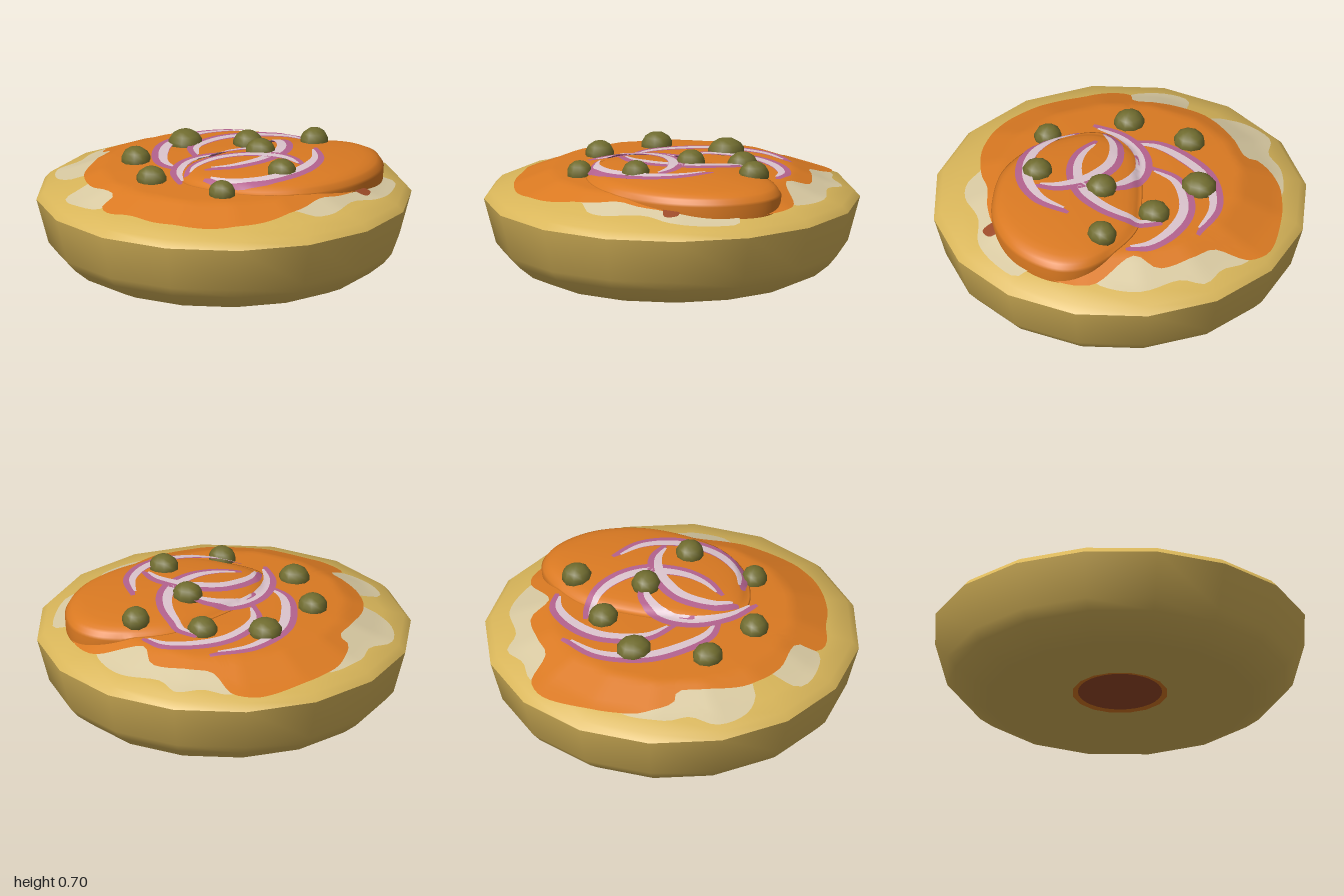
import * as THREE from 'three';
import { toCreasedNormals } from 'three/addons/utils/BufferGeometryUtils.js';

const mat = (name, color, side = THREE.FrontSide) => {
  const m = new THREE.MeshStandardMaterial({ color, side });
  m.name = name;
  return m;
};
const SIDES = 16, COLS = 128, V2 = (p) => new THREE.Vector2(...p);

// Top of the crust from the middle to the rim: [radius, height]
const DOME = [[0, 0.565], [0.3, 0.565], [0.65, 0.548], [0.85, 0.47], [0.965, 0.438], [1, 0.4]];
// Side of the fish slice: [fraction of outline, height]
const SLICE = [[0, 0.632], [0.4, 0.626], [0.7, 0.613], [0.88, 0.598], [0.96, 0.575], [1, 0.54]];

function sample(table, t) {
  for (let i = 1; i < table.length; i++) {
    const [a, ya] = table[i - 1], [b, yb] = table[i];
    if (t <= b) return ya + (yb - ya) * (t - a) / (b - a);
  }
  return table[table.length - 1][1];
}

// Height of the faceted crust at a point
function domeY(x, z) {
  const step = 2 * Math.PI / SIDES;
  const a = (((Math.atan2(z, x) % step) + step) % step) - step / 2;
  return sample(DOME, Math.hypot(x, z) * Math.cos(a) / Math.cos(step / 2));
}

const closedCurve = (pts) => new THREE.CatmullRomCurve3(
  pts.map(([x, z]) => new THREE.Vector3(x, 0, z)), true, 'centripetal').getSpacedPoints(COLS).slice(0, COLS);

// Surface through rows of points
function grid(rows, wrap) {
  const n = rows[0].length, idx = [];
  for (let i = 0; i < rows.length - 1; i++) {
    for (let j = 0; j < (wrap ? n : n - 1); j++) {
      const k = (j + 1) % n, a = i * n + j, b = a + n, c = i * n + k, d = c + n;
      idx.push(a, c, b, b, c, d);
    }
  }
  const g = new THREE.BufferGeometry();
  g.setAttribute('position', new THREE.Float32BufferAttribute(rows.flat(2), 3));
  g.setIndex(idx);
  g.computeVertexNormals();
  return g;
}

// Thin layer inside an outline, laid over the crust
function drape(outline, cx, cz, lift, rings = 26) {
  const rows = [];
  for (let i = 0; i <= rings; i++) {
    const f = Math.max(i / rings, 0.001);
    rows.push(outline.map((p) => {
      const x = cx + (p.x - cx) * f, z = cz + (p.z - cz) * f;
      return [x, domeY(x, z) + lift, z];
    }));
  }
  return grid(rows, true);
}

const CREAM = [[0.41, -0.8], [0.52, -0.69], [0.65, -0.63], [0.67, -0.5], [0.81, -0.32], [0.83, -0.13], [0.8, -0.02],
  [0.75, 0.1], [0.78, 0.3], [0.83, 0.36], [0.78, 0.46], [0.62, 0.62], [0.43, 0.67], [0.27, 0.78], [0.14, 0.8],
  [0.05, 0.75], [-0.15, 0.7], [-0.4, 0.6], [-0.6, 0.4], [-0.69, 0.2], [-0.72, 0.14], [-0.82, 0.14], [-0.89, -0.07],
  [-0.86, -0.16], [-0.78, -0.18], [-0.7, -0.19], [-0.66, -0.3], [-0.72, -0.37], [-0.74, -0.5], [-0.65, -0.66],
  [-0.5, -0.69], [-0.4, -0.78], [-0.16, -0.84], [-0.1, -0.78], [0.2, -0.8]];
const SALMON = [[0.03, -0.89], [0.3, -0.89], [0.4, -0.81], [0.42, -0.62], [0.52, -0.53], [0.65, -0.37], [0.62, -0.23],
  [0.83, -0.06], [0.85, 0.09], [0.73, 0.4], [0.5, 0.57], [0.35, 0.64], [0.22, 0.67], [0.08, 0.74], [-0.18, 0.79],
  [-0.45, 0.72], [-0.66, 0.51], [-0.73, 0.37], [-0.81, 0.23], [-0.8, 0.14], [-0.71, 0.1], [-0.73, -0.13],
  [-0.66, -0.34], [-0.5, -0.5], [-0.37, -0.6], [-0.385, -0.66], [-0.26, -0.8], [-0.13, -0.855]];
const SLICE_EDGE = [[0.41, -0.2], [0.59, -0.145], [0.78, -0.02], [0.84, 0.11], [0.82, 0.25], [0.73, 0.41], [0.57, 0.54],
  [0.38, 0.61], [0.09, 0.62], [-0.13, 0.52], [-0.26, 0.38], [-0.34, 0.22], [-0.315, 0.085], [-0.21, -0.05],
  [0, -0.12], [0.2, -0.17]];
const SX = 0.24, SZ = 0.22;
const sliceEdge = closedCurve(SLICE_EDGE);

// Height of everything the toppings rest on
function topY(x, z) {
  const a = Math.atan2(z - SZ, x - SX);
  let best = 9, radius = 1;
  for (const p of sliceEdge) {
    const d = Math.abs(Math.sin((Math.atan2(p.z - SZ, p.x - SX) - a) / 2));
    if (d < best) { best = d; radius = Math.hypot(p.x - SX, p.z - SZ); }
  }
  const f = Math.hypot(x - SX, z - SZ) / radius, y = domeY(x, z) + 0.01;
  return f > 1 ? y : Math.max(y, sample(SLICE, f));
}

// Tapered strip beside a curved path; from and to are offsets towards the inside of the bend
function ribbon(path, from, to, lift, trim) {
  const curve = new THREE.CatmullRomCurve3(path.map(([x, z]) => new THREE.Vector3(x, 0, z)));
  const a = curve.getPoint(0), mid = curve.getPoint(0.5), b = curve.getPoint(1);
  const inward = a.clone().add(b).multiplyScalar(0.5).sub(mid);
  const rows = [];
  for (let i = 0; i <= 36; i++) {
    const t = trim + (1 - 2 * trim) * i / 36, p = curve.getPoint(t), d = curve.getTangent(t);
    const m = curve.getTangent(0.5);
    const s = Math.sign(-m.z * inward.x + m.x * inward.z);
    const taper = Math.pow(Math.sin(Math.PI * (0.03 + 0.94 * i / 36)), 0.6);
    rows.push([0, 1, 2, 3].map((k) => {
      const o = s * ((from + to) / 2 + (to - from) * (k / 3 - 0.5) * taper);
      const x = p.x - d.z * o, z = p.z + d.x * o;
      return [x, topY(x, z) + lift, z];
    }));
  }
  return grid(rows, false);
}

const ONIONS = [
  [[0.38, -0.52], [0.14, -0.56], [-0.1, -0.46], [-0.235, -0.29], [-0.3, -0.13], [-0.29, 0]],
  [[-0.1, -0.14], [-0.02, -0.31], [0.19, -0.415], [0.38, -0.395], [0.54, -0.3], [0.6, -0.18]],
  [[0.35, -0.32], [0.39, -0.18], [0.37, -0.02], [0.27, 0.14], [0.09, 0.23], [-0.07, 0.235], [-0.21, 0.18]],
  [[-0.385, 0.24], [-0.315, 0.06], [-0.18, -0.075], [-0.02, -0.115], [0.14, -0.05], [0.2, 0.04]],
  [[-0.315, 0.165], [-0.21, 0.075], [-0.02, 0.045], [0.165, 0.14], [0.255, 0.27], [0.27, 0.4]],
  [[-0.27, 0.29], [-0.18, 0.42], [0, 0.5], [0.22, 0.47], [0.38, 0.35], [0.46, 0.17]],
];
// [x, z, radius, turn]
const OLIVES = [[-0.01, -0.43, 0.092, -0.4], [-0.38, -0.285, 0.08, -0.3], [0.275, -0.255, 0.08, 0.1],
  [0.56, -0.04, 0.076, -0.6], [0.19, 0.055, 0.078, 0.5], [-0.465, 0.065, 0.078, 0.6],
  [-0.245, 0.455, 0.07, 0.5], [0.13, 0.42, 0.076, 0.4]];

export function createModel() {
  const model = new THREE.Group();
  const crust = mat('crust', 0xd9b65a);
  const orange = mat('salmon orange', 0xdb7a22, THREE.DoubleSide);
  const cream = mat('cream', 0xd9caa2, THREE.DoubleSide);
  const brown = mat('brown', 0x9c4a28, THREE.DoubleSide);
  const purple = mat('onion purple', 0xb4628f, THREE.DoubleSide);
  const white = mat('onion white', 0xdcc5ce, THREE.DoubleSide);
  const olive = mat('olive green', 0x706c2f);
  const add = (name, geometry, material, parent = model) => {
    const mesh = new THREE.Mesh(geometry, material);
    mesh.name = name;
    parent.add(mesh);
    return mesh;
  };

  // Bread with a rounded underside
  const profile = [[0.255, 0.03], [0.5, 0.012], [0.72, 0], [0.81, 0.04], [0.89, 0.105], [0.935, 0.16], [1, 0.4],
    ...DOME.slice(0, -1).reverse()];
  add('bread', toCreasedNormals(new THREE.LatheGeometry(profile.map(V2), SIDES), 0.62), crust);

  // Filling showing through the hole underneath
  add('holeRim', new THREE.LatheGeometry([[0.224, 0.036], [0.256, 0.03]].map(V2), 32), orange);
  const hole = add('holeFilling', new THREE.CircleGeometry(0.226, 32), brown);
  hole.rotation.x = Math.PI / 2;
  hole.position.y = 0.036;

  // Spread and lower fish layer
  add('creamSpread', drape(closedCurve(CREAM), 0, 0, 0.005), cream);
  add('lowerSalmon', drape(closedCurve(SALMON), 0, 0, 0.01), orange);
  const spot = [[0.58, 0.57], [0.53, 0.62], [0.48, 0.57], [0.53, 0.52]];
  add('brownSpot', drape(closedCurve(spot), 0.53, 0.57, 0.014, 4), brown);

  // Upper slice with a rounded edge falling to the crust
  const rows = [0.001, 0.2, 0.4, 0.55, 0.7, 0.8, 0.88, 0.93, 0.96, 0.985, 1, 0.99].map((f, i) =>
    sliceEdge.map((p) => {
      const x = SX + (p.x - SX) * f, z = SZ + (p.z - SZ) * f, d = domeY(x, z);
      return [x, i === 11 ? d - 0.01 : Math.max(sample(SLICE, f), d + 0.012), z];
    }));
  add('upperSalmon', grid(rows, true), orange);

  // Onion slivers
  ONIONS.forEach((path, i) => {
    const onion = new THREE.Group();
    onion.name = 'onionSlice';
    model.add(onion);
    add('onionSkin', ribbon(path, -0.045, 0.045, 0.008 + i * 0.002, 0), purple, onion);
    add('onionFlesh', ribbon(path, -0.008, 0.044, 0.012 + i * 0.002, 0.04), white, onion);
  });

  // Olives
  for (const [x, z, r, turn] of OLIVES) {
    const o = add('olive', new THREE.SphereGeometry(1, 10, 7), olive);
    o.scale.set(r, 0.07, r * 1.08);
    o.rotation.y = turn;
    o.position.set(x, topY(x, z) + 0.008, z);
  }
  return model;
}
